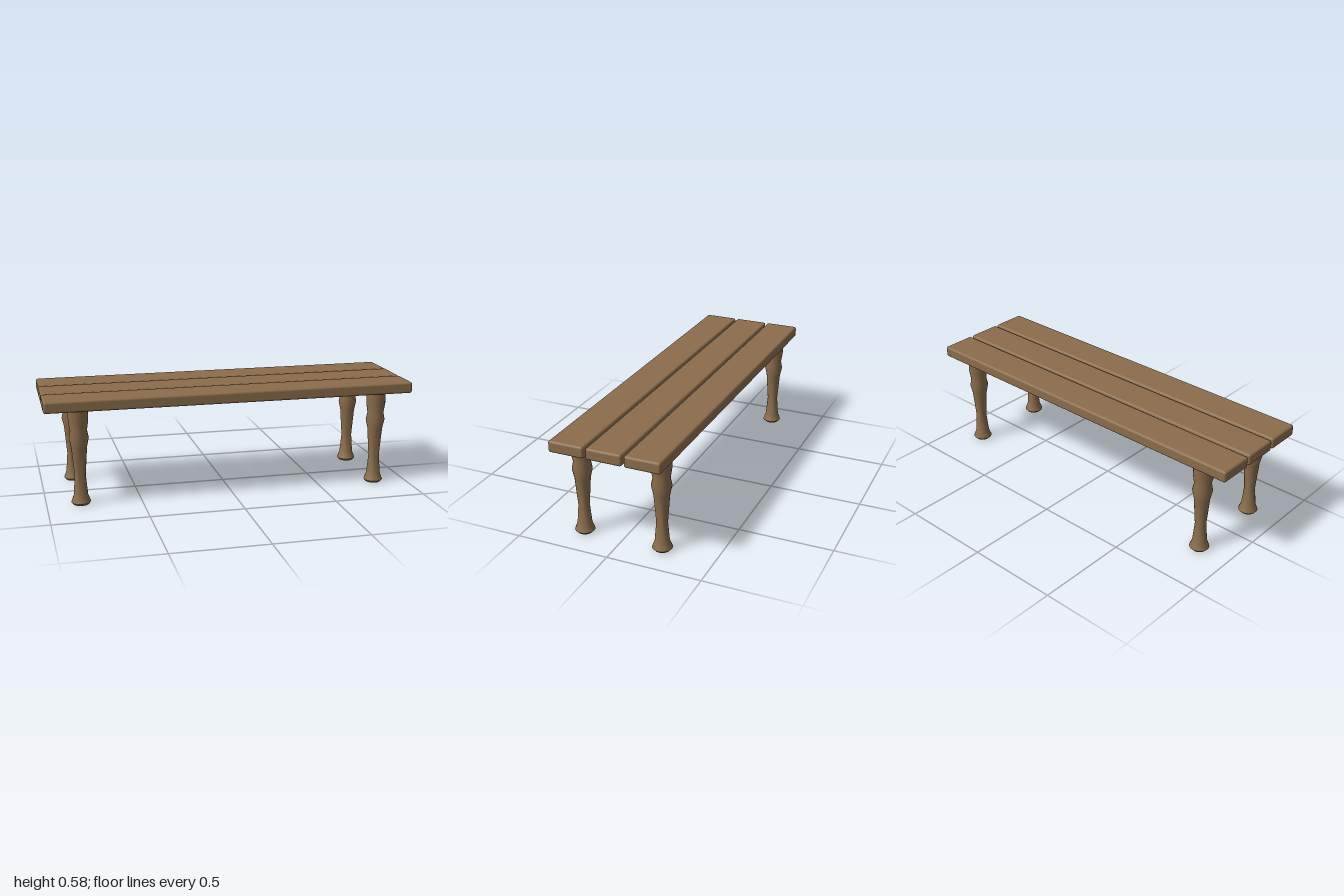
import * as THREE from 'three';
import { RoundedBoxGeometry } from 'three/addons/geometries/RoundedBoxGeometry.js';
import { toCreasedNormals } from 'three/addons/utils/BufferGeometryUtils.js';

export function createModel() {
  const bench = new THREE.Group();
  bench.name = 'bench';

  const wood = new THREE.MeshStandardMaterial({ color: 0x8b6d4b });
  wood.name = 'brown wood';

  // Seat: three long planks with softened edges
  const plankGeometry = new RoundedBoxGeometry(2, 0.061, 0.189, 2, 0.012);
  ['backPlank', 'middlePlank', 'frontPlank'].forEach((name, i) => {
    const plank = new THREE.Mesh(plankGeometry, wood);
    plank.name = name;
    plank.position.set(0, 0.5455, (i - 1) * 0.201);
    bench.add(plank);
  });

  // Turned leg profile, from the foot to the underside of the seat
  const profile = [
    [0, 0], [0.04, 0], [0.052, 0.013], [0.038, 0.05], [0.029, 0.155],
    [0.041, 0.31], [0.052, 0.36], [0.044, 0.4], [0.052, 0.452],
    [0.052, 0.516], [0, 0.516],
  ].map(([r, y]) => new THREE.Vector2(r, y));
  const legGeometry = toCreasedNormals(new THREE.LatheGeometry(profile, 20), 0.7);

  // Four legs, one near each corner
  for (const [side, x] of [['Left', 0.82], ['Right', -0.82]]) {
    for (const [end, z] of [['front', 0.217], ['back', -0.217]]) {
      const leg = new THREE.Mesh(legGeometry, wood);
      leg.name = `${end}${side}Leg`;
      leg.position.set(x, 0, z);
      bench.add(leg);
    }
  }

  return bench;
}
